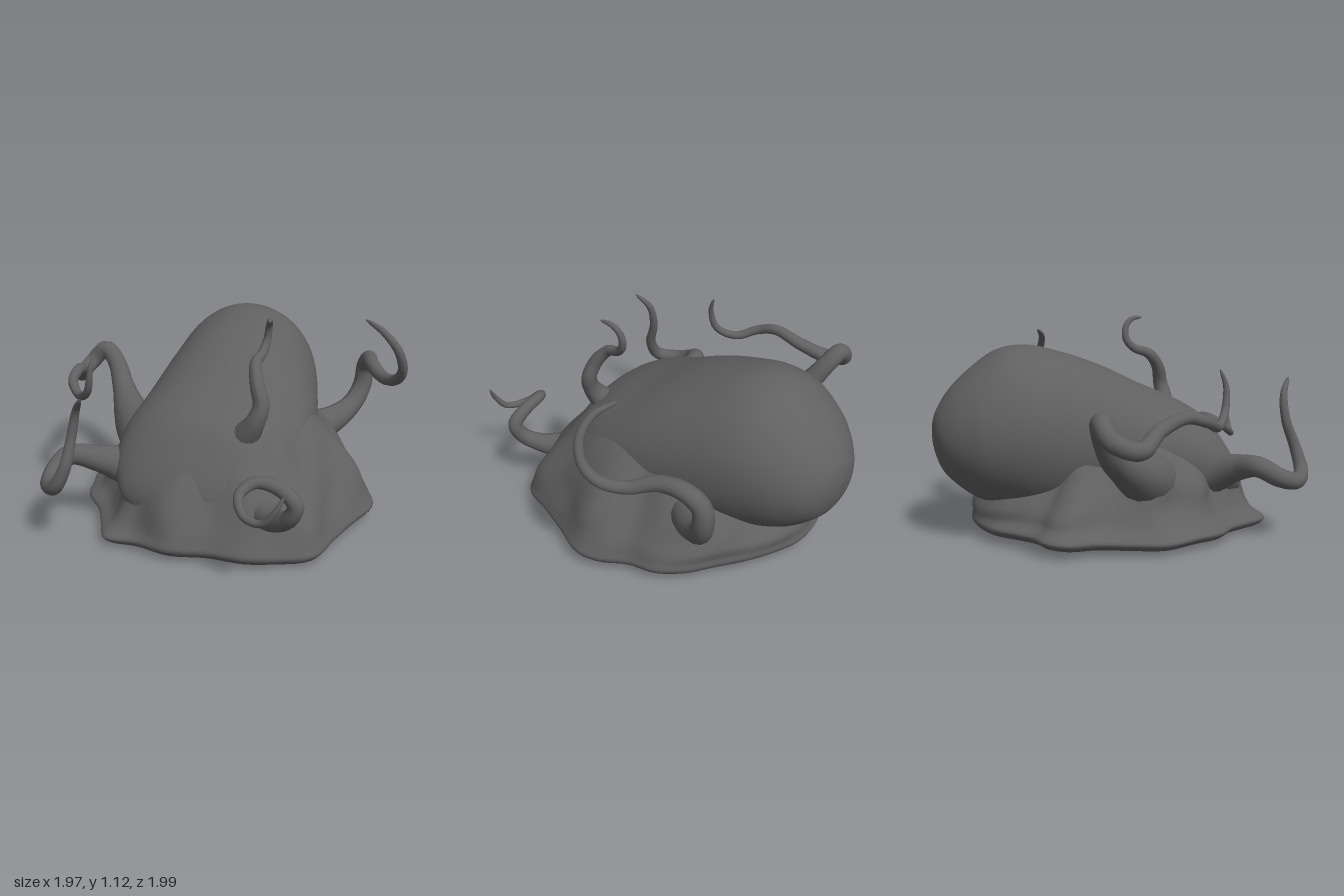
import * as THREE from 'three';

const skin = new THREE.MeshStandardMaterial({ color: 0x606060, side: THREE.DoubleSide });
skin.name = 'dark grey skin';

const V = (a) => new THREE.Vector3(a[0], a[1], a[2]);
const smooth = (x, a, b) => THREE.MathUtils.smoothstep(x, a, b);

// Skins a stack of closed rings with smooth normals
function loft(rings) {
  const n = rings[0].length, pos = [], idx = [];
  rings.forEach((ring) => ring.forEach((p) => pos.push(p.x, p.y, p.z)));
  for (let i = 0; i < rings.length - 1; i++) {
    for (let j = 0; j < n; j++) {
      const a = i * n + j, b = i * n + (j + 1) % n;
      idx.push(a, b, b + n, a, b + n, a + n);
    }
  }
  const g = new THREE.BufferGeometry();
  g.setAttribute('position', new THREE.Float32BufferAttribute(pos, 3));
  g.setIndex(idx);
  g.computeVertexNormals();
  return g;
}

// Bulbous head: oval sections along z as [z, bottom, top, width to -x, width to +x]
function headGeometry() {
  const s = [
    [-1, 0.55, 0.55, 0, 0], [-0.985, 0.45, 0.64, 0.1, 0.1], [-0.95, 0.36, 0.71, 0.18, 0.18],
    [-0.9, 0.3, 0.78, 0.245, 0.245], [-0.8, 0.22, 0.875, 0.33, 0.32], [-0.65, 0.15, 0.975, 0.385, 0.39],
    [-0.5, 0.1, 0.995, 0.405, 0.44], [-0.3, 0.07, 0.95, 0.41, 0.49], [-0.1, 0.06, 0.88, 0.415, 0.53],
    [0.1, 0.06, 0.785, 0.43, 0.55], [0.3, 0.07, 0.7, 0.44, 0.53], [0.45, 0.08, 0.61, 0.41, 0.47],
    [0.55, 0.1, 0.48, 0.36, 0.4], [0.62, 0.12, 0.36, 0.27, 0.3], [0.67, 0.22, 0.22, 0, 0],
  ];
  const heights = new THREE.CatmullRomCurve3(s.map(V));
  const widths = new THREE.CatmullRomCurve3(s.map((q) => new THREE.Vector3(q[3], q[4], 0)), false, 'catmullrom');
  const rings = [];
  for (let i = 0; i <= 84; i++) {
    const p = heights.getPoint(i / 84), w = widths.getPoint(i / 84);
    const ring = [];
    for (let j = 0; j < 64; j++) {
      const t = (j / 64) * Math.PI * 2, c = Math.cos(t);
      const x = c * Math.max(0, c < 0 ? w.x : w.y);
      ring.push(new THREE.Vector3(x, (p.y + p.z) / 2 + Math.sin(t) * (p.z - p.y) / 2, p.x));
    }
    rings.push(ring);
  }
  return loft(rings);
}

// Spreading mantle: a wavy floor outline shrunk layer by layer
function mantleGeometry() {
  const outline = new THREE.CatmullRomCurve3([
    [0, 0.79], [0.2, 0.75], [0.38, 0.74], [0.52, 0.69], [0.69, 0.6], [0.75, 0.4], [0.81, 0.2], [0.87, 0],
    [0.84, -0.12], [0.75, -0.25], [0.7, -0.4], [0.6, -0.52], [0.48, -0.6], [0.32, -0.7], [0.15, -0.77],
    [0, -0.8], [-0.2, -0.76], [-0.34, -0.67], [-0.46, -0.6], [-0.57, -0.57], [-0.635, -0.49], [-0.63, -0.32],
    [-0.68, -0.15], [-0.73, 0], [-0.68, 0.2], [-0.64, 0.33], [-0.52, 0.46], [-0.44, 0.6], [-0.36, 0.73], [-0.2, 0.74],
  ].map(([x, z]) => new THREE.Vector3(x, 0, z)), true).getPoints(150).slice(0, -1);
  // [height, scale, scale on the -x side]
  const layers = new THREE.CatmullRomCurve3([
    [0.03, 0, 0], [0.03, 0.6, 0.6], [0.03, 0.95, 0.95], [0.07, 1, 1], [0.12, 0.98, 0.9], [0.2, 0.93, 0.83],
    [0.3, 0.86, 0.79], [0.4, 0.77, 0.7], [0.5, 0.675, 0.57], [0.57, 0.585, 0.47], [0.63, 0.38, 0.3], [0.64, 0, 0],
  ].map(V));
  const rings = [];
  for (let i = 0; i <= 55; i++) {
    const { x: y, y: r, z: l } = layers.getPoint(i / 55);
    const up = smooth(y, 0.07, 0.25);
    rings.push(outline.map((p) => {
      const t = Math.atan2(p.x, p.z);
      let f = THREE.MathUtils.lerp(r, l, smooth(-p.x, 0, 0.45));
      f *= 1 - 0.12 * smooth(y, 0.18, 0.35) * smooth(-p.x, 0.1, 0.5) * smooth(-p.z, 0, 0.4);
      f *= 1 + 0.05 * smooth(y, 0.08, 0.18) * smooth(-p.z, 0.2, 0.6);
      f *= 1 + up * (0.014 * Math.sin(7 * t + 11 * y) + 0.012 * Math.sin(12 * t - 16 * y));
      const sag = 0.006 * Math.sin(5 * t + 1) * Math.min(1, r) - 0.018 * p.z * r;
      return new THREE.Vector3(p.x * f, Math.max(0, y + sag * (1 - up)), p.z * f);
    }));
  }
  return loft(rings);
}

// Tapering arm along a path: flared root, slender middle, fine tip
function tentacleGeometry(points, root, mid) {
  const segs = 120, sides = 14;
  const path = new THREE.CatmullRomCurve3(points.map(V));
  const g = new THREE.TubeGeometry(path, segs, 1, sides, false);
  const pos = g.attributes.position, nor = g.attributes.normal;
  for (let i = 0; i <= segs; i++) {
    const u = i / segs, c = path.getPointAt(u);
    const r = (mid + (root - mid) * Math.pow(1 - smooth(u, 0, 0.42), 1.5)) * (1 - 0.5 * smooth(u, 0.3, 0.85))
      * Math.sqrt(Math.max(0, 1 - Math.pow(u, 8))) * Math.sqrt(Math.min(1, u / 0.06));
    for (let j = 0; j <= sides; j++) {
      const k = i * (sides + 1) + j;
      pos.setXYZ(k, c.x + nor.getX(k) * r, c.y + nor.getY(k) * r, c.z + nor.getZ(k) * r);
    }
  }
  g.computeVertexNormals();
  return g;
}

const tentacles = {
  rightSideTentacle: [0.17, 0.054, [
    [-0.28, 0.27, 0.1], [-0.45, 0.33, 0.0], [-0.58, 0.4, -0.13], [-0.69, 0.5, -0.27], [-0.77, 0.63, -0.35],
    [-0.85, 0.69, -0.38], [-0.925, 0.62, -0.36], [-0.94, 0.57, -0.23], [-0.85, 0.64, -0.1], [-0.815, 0.69, 0.05],
    [-0.79, 0.66, 0.17], [-0.7, 0.62, 0.27], [-0.61, 0.68, 0.35], [-0.58, 0.8, 0.37], [-0.57, 0.89, 0.34]]],
  rightFrontTentacle: [0.14, 0.054, [
    [-0.2, 0.27, 0.3], [-0.36, 0.32, 0.42], [-0.5, 0.37, 0.49], [-0.63, 0.39, 0.54], [-0.67, 0.34, 0.63],
    [-0.65, 0.31, 0.74], [-0.57, 0.34, 0.82], [-0.51, 0.45, 0.82], [-0.49, 0.6, 0.77], [-0.46, 0.73, 0.77],
    [-0.4, 0.82, 0.83]]],
  leftFrontTentacle: [0.11, 0.042, [
    [0.32, 0.23, 0.42], [0.42, 0.24, 0.56], [0.52, 0.26, 0.67], [0.6, 0.32, 0.74], [0.63, 0.4, 0.76],
    [0.55, 0.47, 0.755], [0.44, 0.49, 0.77], [0.385, 0.45, 0.84], [0.43, 0.39, 0.92], [0.53, 0.39, 0.965],
    [0.59, 0.46, 0.98], [0.63, 0.54, 0.97]]],
  upperTentacle: [0.1, 0.042, [
    [0.2, 0.45, 0.32], [0.28, 0.56, 0.39], [0.335, 0.65, 0.42], [0.36, 0.73, 0.41], [0.33, 0.83, 0.38],
    [0.3, 0.91, 0.31], [0.31, 0.945, 0.22], [0.32, 1.0, 0.175], [0.33, 1.07, 0.18], [0.345, 1.11, 0.22],
    [0.36, 1.12, 0.29]]],
  leftBackTentacle: [0.15, 0.056, [
    [0.22, 0.3, -0.2], [0.4, 0.32, -0.36], [0.54, 0.36, -0.5], [0.63, 0.43, -0.64], [0.67, 0.53, -0.7],
    [0.68, 0.64, -0.7], [0.71, 0.71, -0.63], [0.75, 0.715, -0.5], [0.84, 0.68, -0.38], [0.92, 0.71, -0.29],
    [0.955, 0.79, -0.22], [0.93, 0.9, -0.18], [0.85, 0.99, -0.185], [0.74, 1.04, -0.24]]],
};

export function createModel() {
  const group = new THREE.Group();
  group.name = 'tentacledCreature';
  const add = (name, geometry) => {
    const mesh = new THREE.Mesh(geometry, skin);
    mesh.name = name;
    group.add(mesh);
  };
  add('head', headGeometry());
  add('mantle', mantleGeometry());
  for (const [name, [root, mid, points]] of Object.entries(tentacles)) {
    add(name, tentacleGeometry(points, root, mid));
  }
  return group;
}
